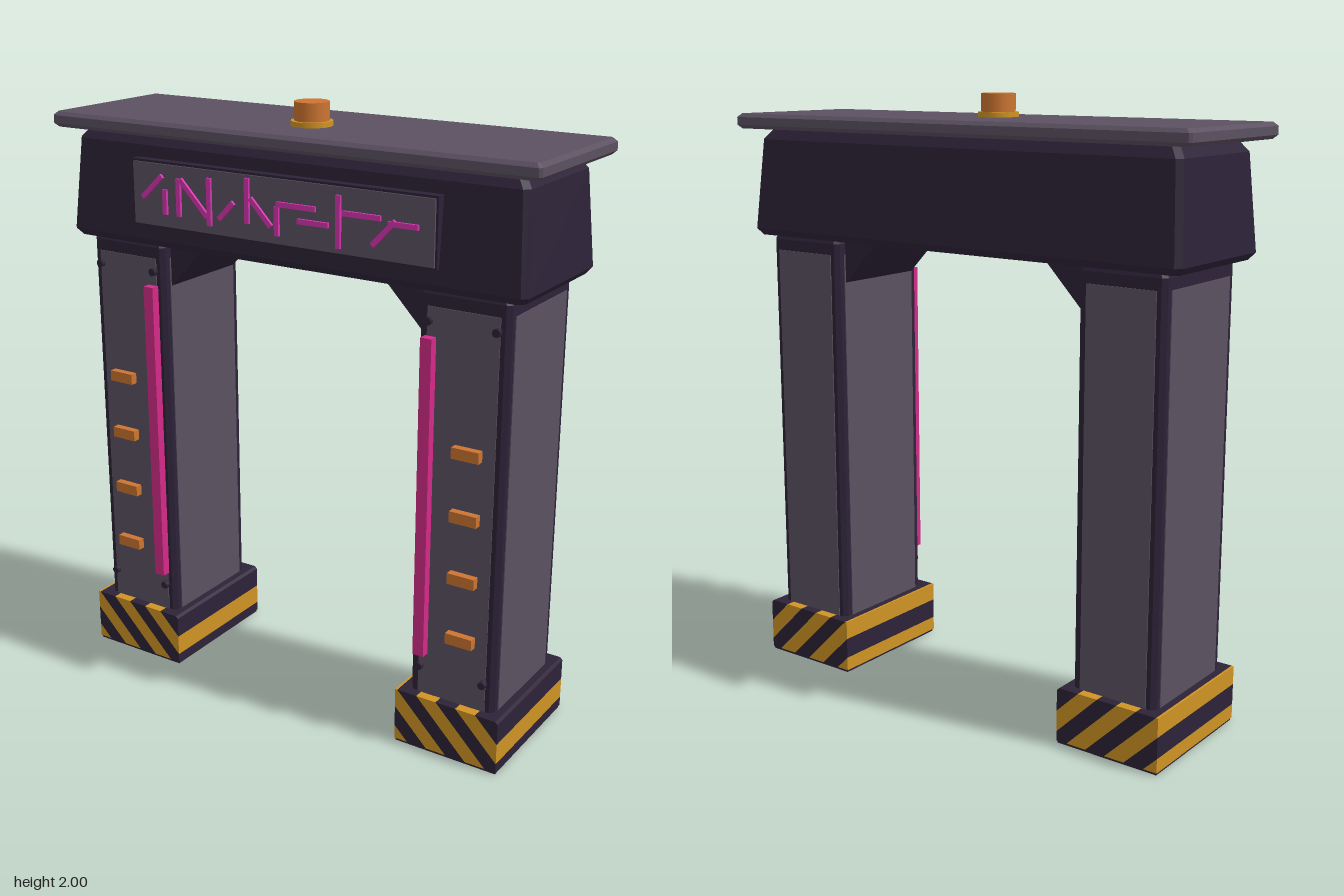
import * as THREE from 'three';

const mat = (name, color) => {
  const m = new THREE.MeshStandardMaterial({ color });
  m.name = name;
  return m;
};

export function createModel() {
  const dark = mat('dark plum metal', 0x2d2338);
  const grey = mat('grey panel', 0x5c5162);
  const yellow = mat('hazard yellow', 0xd09424);
  const orange = mat('orange lamp', 0xcc7430);
  const pink = mat('pink neon', 0xd42a88);
  const violet = mat('violet neon', 0xd634b0);

  const model = new THREE.Group();
  model.name = 'gate';

  const add = (parent, name, geo, material, x = 0, y = 0, z = 0) => {
    const mesh = new THREE.Mesh(geo, material);
    mesh.name = name;
    mesh.position.set(x, y, z);
    parent.add(mesh);
    return mesh;
  };
  const box = (w, h, d) => new THREE.BoxGeometry(w, h, d);

  // Solid through levels [y, halfX, halfZ], with corners cut by c
  function loft(levels, c) {
    const pos = [], idx = [];
    for (const [y, a, b] of levels) {
      const ring = [[a, b - c], [a - c, b], [c - a, b], [-a, b - c],
        [-a, c - b], [c - a, -b], [a - c, -b], [a, c - b]];
      for (const [x, z] of ring) pos.push(x, y, z);
    }
    const top = (levels.length - 1) * 8;
    for (let l = 0; l < top; l += 8) {
      for (let i = 0; i < 8; i++) {
        const j = (i + 1) % 8;
        idx.push(l + i, l + 8 + i, l + j, l + j, l + 8 + i, l + 8 + j);
      }
    }
    for (let i = 1; i < 7; i++) {
      idx.push(0, i, i + 1, top, top + i + 1, top + i);
    }
    const indexed = new THREE.BufferGeometry();
    indexed.setAttribute('position', new THREE.Float32BufferAttribute(pos, 3));
    indexed.setIndex(idx);
    const geo = indexed.toNonIndexed();
    geo.computeVertexNormals();
    return geo;
  }

  // Keep the side of a polygon where sign * (x + y - limit) >= 0
  function clip(points, limit, sign) {
    const out = [];
    points.forEach((p, i) => {
      const q = points[(i + 1) % points.length];
      const dp = sign * (p.x + p.y - limit), dq = sign * (q.x + q.y - limit);
      if (dp >= 0) out.push(p);
      if (dp * dq < 0) out.push(p.clone().lerp(q, dp / (dp - dq)));
    });
    return out;
  }

  // Striped foot: diagonal bands running straight through along z
  function makeFoot() {
    const foot = new THREE.Group();
    foot.name = 'hazardFoot';
    const w = 0.183, y0 = 0.008, y1 = 0.188, band = 0.07;
    const rect = [[-w, y0], [w, y0], [w, y1], [-w, y1]].map(([x, y]) => new THREE.Vector2(x, y));
    for (let i = -6; i < 4; i++) {
      const start = 0.2225 + (i - 2) * band;
      const poly = clip(clip(rect, start, 1), start + band, -1);
      if (poly.length < 3) continue;
      const geo = new THREE.ExtrudeGeometry(new THREE.Shape(poly), { depth: 0.48, bevelEnabled: false });
      add(foot, 'footStripe', geo, i % 2 === 0 ? yellow : dark, 0, 0, -0.24);
    }
    add(foot, 'footSole', box(0.36, 0.008, 0.474), dark, 0, 0.004, 0);
    return foot;
  }

  // Pillars, mirrored by side
  const cx = 0.628;
  for (const s of [-1, 1]) {
    const pillar = new THREE.Group();
    pillar.name = s > 0 ? 'leftPillar' : 'rightPillar';
    pillar.position.x = s * cx;
    model.add(pillar);

    pillar.add(makeFoot());
    add(pillar, 'pillarFrame', loft([[0.18, 0.148, 0.205], [1.505, 0.148, 0.205], [1.53, 0.138, 0.195]], 0.014), dark);
    for (const d of [-1, 1]) {
      add(pillar, 'facePanel', box(0.238, 1.28, 0.008), grey, 0, 0.828, d * 0.204);
      add(pillar, 'sidePanel', box(0.008, 1.28, 0.345), grey, d * 0.147, 0.828, 0);
    }

    // Neon strip, marker lights and rivets
    add(pillar, 'neonStrip', box(0.038, 1.045, 0.03), pink, -s * 0.106, 0.855, 0.222);
    for (let i = 0; i < 4; i++) {
      add(pillar, 'markerLight', box(0.092, 0.036, 0.026), orange, s * 0.032, 0.42 + i * 0.206, 0.22);
    }
    for (const x of [-0.112, 0.112]) {
      for (const y of [0.285, 1.425]) {
        const rivet = add(pillar, 'rivet', new THREE.CylinderGeometry(0.013, 0.013, 0.02, 10), dark, x, y, 0.213);
        rivet.rotation.x = Math.PI / 2;
      }
    }

    // Triangular brace under the beam
    const tri = new THREE.Shape([[0.475, 1.53], [0.325, 1.53], [0.475, 1.375]]
      .map(([x, y]) => new THREE.Vector2(s * x, y)));
    add(model, 'cornerBrace', new THREE.ExtrudeGeometry(tri, { depth: 0.34, bevelEnabled: false }), dark, 0, 0, -0.17);
  }

  // Tapered beam and roof slab
  add(model, 'beam', loft([[1.518, 0.82, 0.222], [1.54, 0.837, 0.238], [1.84, 0.816, 0.211], [1.88, 0.785, 0.185]], 0.018), dark);
  add(model, 'roof', loft([[1.876, 0.863, 0.253], [1.888, 0.875, 0.265], [1.914, 0.875, 0.265], [1.926, 0.863, 0.253]], 0.008), grey);

  // Sign board with abstract neon strokes: [x, y, length, angle]
  add(model, 'signFrame', box(1.115, 0.215, 0.06), dark, 0, 1.694, 0.215);
  add(model, 'signBoard', box(1.1, 0.2, 0.008), grey, 0, 1.694, 0.247);
  const strokes = [
    [-0.47, 1.72, 0.11, 0.75], [-0.42, 1.675, 0.08, 1.57], [-0.365, 1.695, 0.12, 1.57],
    [-0.305, 1.7, 0.15, -0.8], [-0.245, 1.695, 0.15, 1.57], [-0.18, 1.675, 0.08, 0.8],
    [-0.1, 1.715, 0.14, 1.57], [-0.05, 1.685, 0.11, -0.8], [0.01, 1.665, 0.09, 1.57],
    [0.08, 1.718, 0.14, 0], [0.14, 1.675, 0.11, 0], [0.23, 1.69, 0.16, 1.57],
    [0.31, 1.718, 0.13, 0], [0.385, 1.675, 0.11, 0.8], [0.45, 1.706, 0.1, 0],
  ];
  for (const [x, y, length, angle] of strokes) {
    add(model, 'neonStroke', box(length, 0.016, 0.009), violet, x, y, 0.2555).rotation.z = angle;
  }

  // Roof beacon
  add(model, 'beaconBase', new THREE.CylinderGeometry(0.066, 0.066, 0.018, 20), yellow, 0, 1.933, 0.047);
  add(model, 'beaconLamp', new THREE.CylinderGeometry(0.055, 0.055, 0.065, 20), orange, 0, 1.9675, 0.047);

  return model;
}
